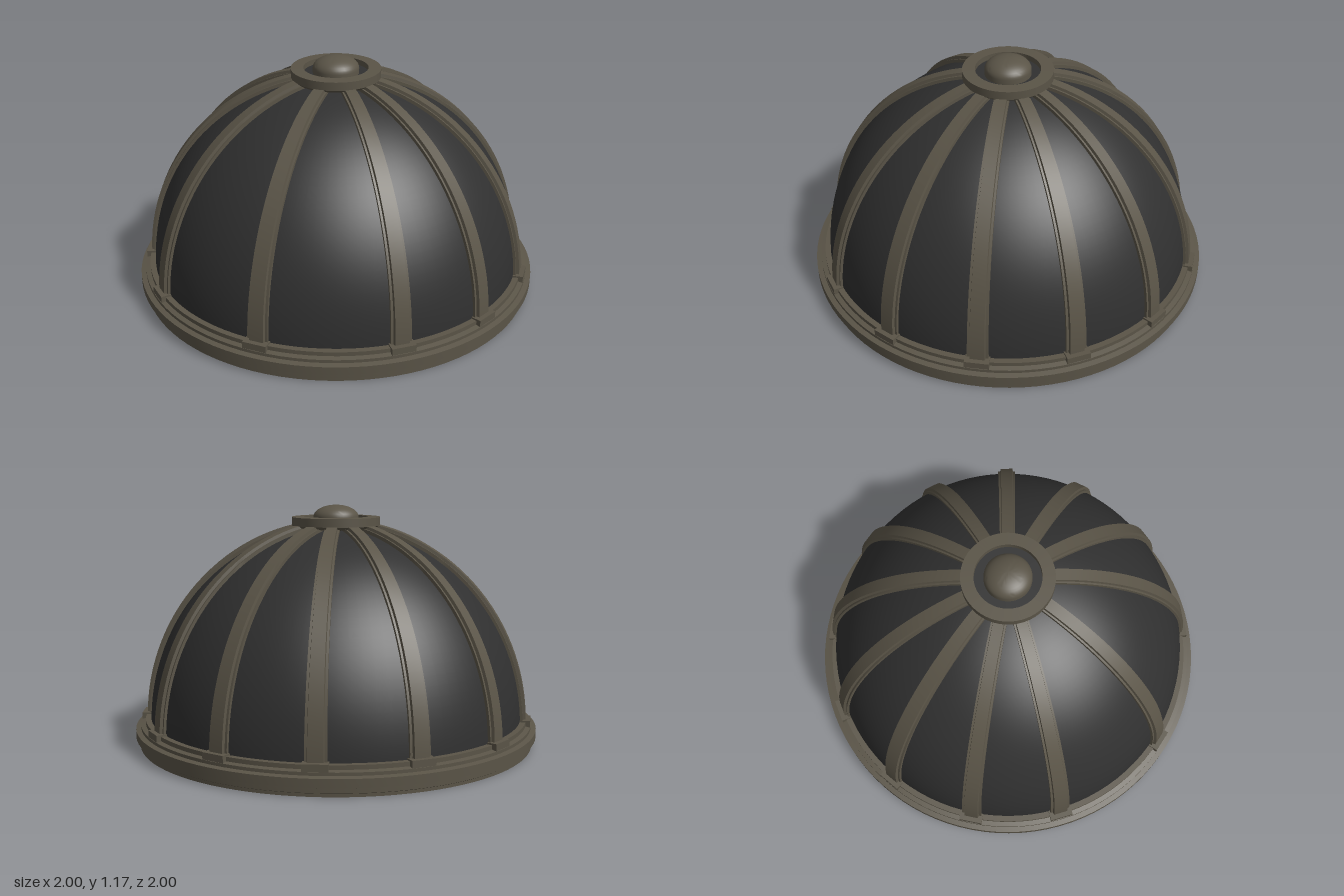
import * as THREE from 'three';
import { toCreasedNormals } from 'three/addons/utils/BufferGeometryUtils.js';

const BASE_Y = 0.1; // springing height of the dome

export function createModel() {
  const model = new THREE.Group();
  model.name = 'ribbedDome';

  const stone = new THREE.MeshStandardMaterial({ color: 0x5a5447 });
  stone.name = 'weathered stone';
  const slate = new THREE.MeshStandardMaterial({ color: 0x303030 });
  slate.name = 'dark slate';

  const add = (name, geometry, material, parent = model) => {
    const mesh = new THREE.Mesh(geometry, material);
    mesh.name = name;
    parent.add(mesh);
    return mesh;
  };
  // Lathe with sharp steps from [radius, height] pairs, listed bottom to top
  const lathe = (pairs, segments = 96) => toCreasedNormals(
    new THREE.LatheGeometry(pairs.map(([r, y]) => new THREE.Vector2(r, y)), segments), 0.5);

  // Dark shell
  const shell = [];
  for (let i = 0; i <= 32; i++) {
    const t = (i / 32) * Math.PI / 2;
    shell.push(new THREE.Vector2(Math.max(0.925 * Math.cos(t), 0), BASE_Y + 0.97 * Math.sin(t)));
  }
  add('domeShell', new THREE.LatheGeometry(shell, 96), slate);

  // Stepped base moulding with a closed underside
  add('baseMoulding', lathe([
    [0, 0], [0.98, 0], [0.98, 0.015], [0.985, 0.018], [0.985, 0.04],
    [1, 0.045], [1, 0.085], [0.975, 0.09], [0.975, 0.105],
    [0.952, 0.11], [0.952, 0.13], [0.915, 0.13],
  ]), stone);

  // Ribs, each with a foot block; the front bay pair is spaced wider
  const ribGeometry = makeRib();
  const footGeometry = new THREE.BoxGeometry(0.115, 0.05, 0.06);
  const angles = [0, 180];
  for (const a of [40, 68, 96, 124, 152]) angles.push(a, -a);
  for (const a of angles) {
    const bay = new THREE.Group();
    bay.name = 'ribWithFoot';
    bay.rotation.y = THREE.MathUtils.degToRad(a);
    add('rib', ribGeometry, stone, bay);
    add('ribFoot', footGeometry, stone, bay).position.set(0, 0.113, 0.942);
    model.add(bay);
  }

  // Crown ring, recessed floor and central cap
  add('crownRing', lathe([
    [0.17, 1.055], [0.205, 1.06], [0.218, 1.072], [0.218, 1.113], [0.157, 1.115], [0.157, 1.06],
  ], 64), stone);
  add('crownRecess', lathe([[0.158, 1.088], [0, 1.088]], 48), slate);
  const cap = [[0.112, 1.08], [0.112, 1.112]];
  for (let i = 1; i <= 10; i++) {
    const t = (i / 10) * Math.PI / 2;
    cap.push([Math.max(0.112 * Math.cos(t), 0), 1.112 + 0.06 * Math.sin(t)]);
  }
  add('crownCap', lathe(cap, 48), stone);

  return model;
}

// Tapering rib swept up the dome, with a raised centre between two low shoulders
function makeRib() {
  const section = [
    [-0.5, -0.045], [-0.5, -0.014], [-0.38, -0.014], [-0.35, 0],
    [0.35, 0], [0.38, -0.014], [0.5, -0.014], [0.5, -0.045],
  ];
  const steps = 28, n = section.length, pos = [], index = [];
  for (let i = 0; i <= steps; i++) {
    const t = 0.01 + (i / steps) * 1.4;
    const width = THREE.MathUtils.lerp(0.1, 0.07, i / steps);
    const normal = new THREE.Vector2(Math.cos(t) / 0.95, Math.sin(t)).normalize();
    for (const [u, d] of section) {
      pos.push(u * width,
        BASE_Y + Math.sin(t) + normal.y * d,
        0.95 * Math.cos(t) + normal.x * d);
    }
    if (i === steps) continue;
    for (let j = 0; j < n - 1; j++) {
      const a = i * n + j, b = a + 1, c = a + n, e = c + 1;
      index.push(a, b, c, b, e, c);
    }
  }
  const geometry = new THREE.BufferGeometry();
  geometry.setAttribute('position', new THREE.Float32BufferAttribute(pos, 3));
  geometry.setIndex(index);
  return toCreasedNormals(geometry, 0.4);
}
